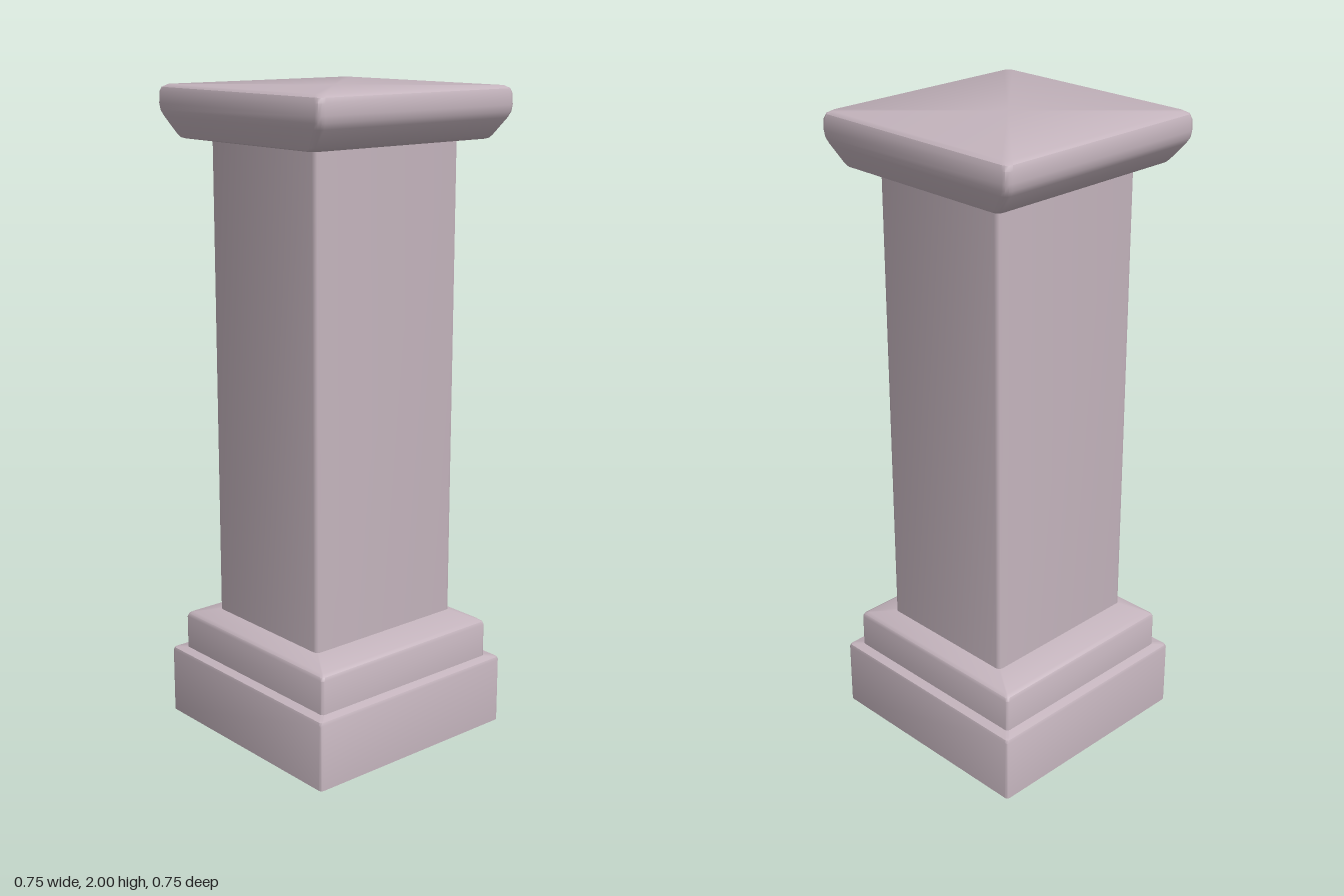
import * as THREE from 'three';
import { toCreasedNormals } from 'three/addons/utils/BufferGeometryUtils.js';

// Rounded rectangle outline at height y, running from +x towards +z
function outline([y, hx, hz, r]) {
  const steps = 3, points = [];
  for (let corner = 0; corner < 4; corner++) {
    const sx = corner === 0 || corner === 3 ? 1 : -1;
    const sz = corner < 2 ? 1 : -1;
    for (let i = 0; i <= steps; i++) {
      const a = (corner + i / steps) * Math.PI / 2;
      points.push([sx * (hx - r) + r * Math.cos(a), y, sz * (hz - r) + r * Math.sin(a)]);
    }
  }
  return points;
}

// Closed solid through a stack of sections [y, halfWidth, halfDepth, cornerRadius]
function stack(name, sections, material) {
  const rings = sections.map(outline);
  const n = rings[0].length, last = rings.length - 1;
  const bottom = [0, sections[0][0], 0], top = [0, sections[last][0], 0];
  const pos = [];
  for (let j = 0; j < n; j++) {
    const k = (j + 1) % n;
    for (let i = 0; i < last; i++) {
      const a = rings[i][j], b = rings[i][k], c = rings[i + 1][k], d = rings[i + 1][j];
      pos.push(...a, ...d, ...b, ...b, ...d, ...c);
    }
    pos.push(...bottom, ...rings[0][j], ...rings[0][k]);
    pos.push(...top, ...rings[last][k], ...rings[last][j]);
  }
  const geometry = new THREE.BufferGeometry();
  geometry.setAttribute('position', new THREE.Float32BufferAttribute(pos, 3));
  const mesh = new THREE.Mesh(toCreasedNormals(geometry, 0.65), material);
  mesh.name = name;
  return mesh;
}

export function createModel() {
  const stone = new THREE.MeshStandardMaterial({ color: 0xc4b4bd });
  stone.name = 'mauve stone';

  const group = new THREE.Group();
  group.name = 'pillar';
  group.add(
    // Square foot block
    stack('plinth', [
      [0, 0.372, 0.372, 0.01],
      [0.207, 0.372, 0.372, 0.01],
      [0.216, 0.369, 0.369, 0.01],
      [0.22, 0.361, 0.361, 0.01],
    ], stone),
    // Smaller step with a sloping top
    stack('baseStep', [
      [0.215, 0.338, 0.338, 0.01],
      [0.325, 0.338, 0.338, 0.01],
      [0.335, 0.334, 0.334, 0.01],
      [0.342, 0.322, 0.325, 0.01],
      [0.365, 0.24, 0.278, 0.01],
    ], stone),
    // Plain shaft, slightly deeper than wide
    stack('shaft', [
      [0.35, 0.24, 0.276, 0.015],
      [1.86, 0.24, 0.276, 0.015],
    ], stone),
    // Capital flaring out to a rounded slab
    stack('capital', [
      [1.845, 0.3, 0.335, 0.018],
      [1.848, 0.309, 0.343, 0.018],
      [1.857, 0.318, 0.348, 0.018],
      [1.908, 0.36, 0.366, 0.02],
      [1.925, 0.37, 0.371, 0.02],
      [1.945, 0.373, 0.373, 0.02],
      [1.978, 0.372, 0.372, 0.02],
      [1.992, 0.367, 0.367, 0.02],
      [2, 0.354, 0.354, 0.02],
    ], stone),
  );
  return group;
}
